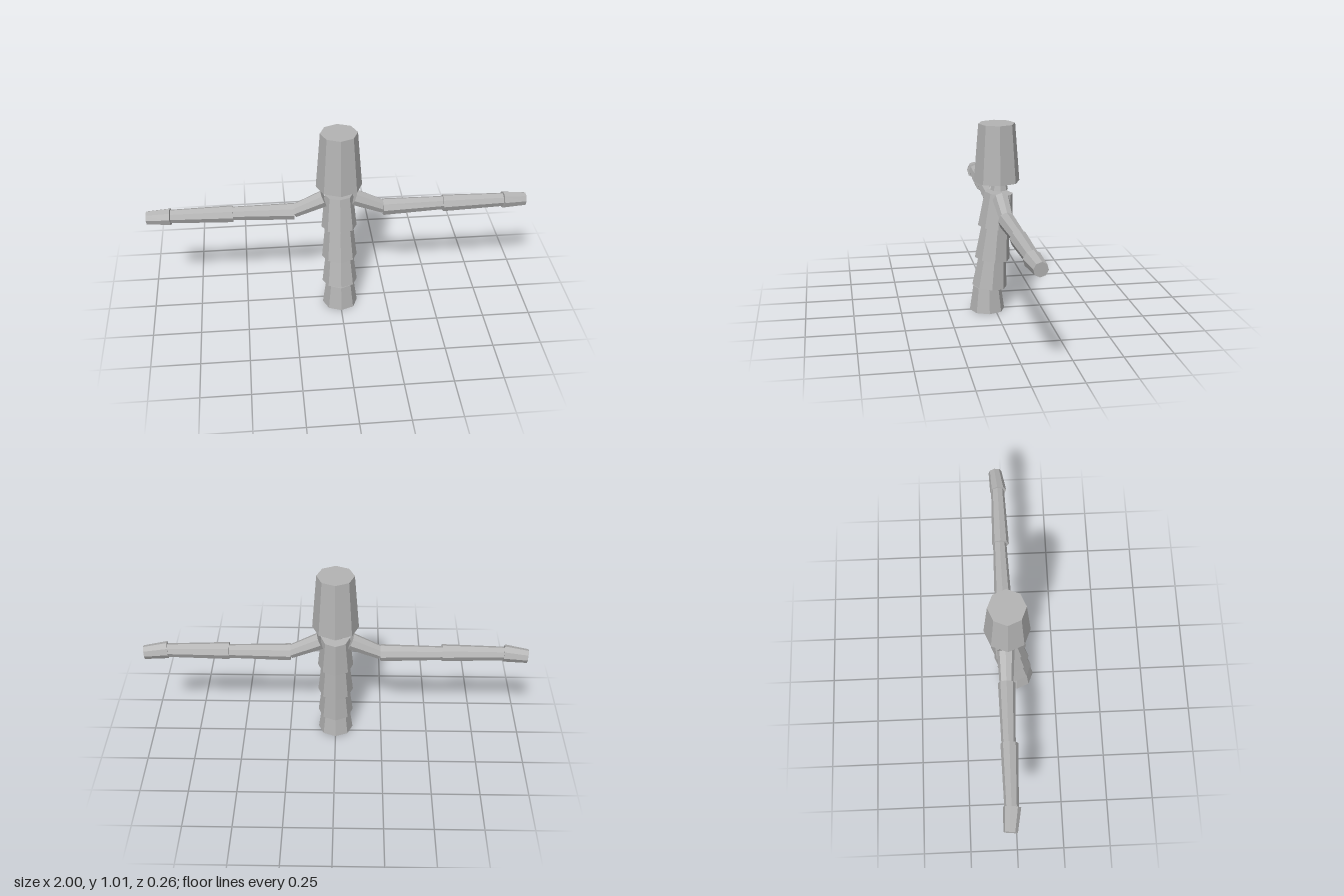
import * as THREE from 'three';

const TAPER = 0.8; // every segment narrows towards its far end

export function createModel() {
  const group = new THREE.Group();
  group.name = 'figure';
  const grey = new THREE.MeshStandardMaterial({ color: 0xb4b4b4, flatShading: true });
  grey.name = 'plain grey';

  // Tapered eight-sided segment running from one point to another
  function segment(name, from, to, radius) {
    const a = new THREE.Vector3(...from);
    const b = new THREE.Vector3(...to);
    const dir = b.clone().sub(a);
    const geometry = new THREE.CylinderGeometry(radius * TAPER, radius, dir.length(), 8);
    const mesh = new THREE.Mesh(geometry, grey);
    mesh.name = name;
    mesh.position.copy(a).add(b).multiplyScalar(0.5);
    mesh.quaternion.setFromUnitVectors(new THREE.Vector3(0, 1, 0), dir.normalize());
    group.add(mesh);
  }

  // Body, leaning backwards above the hips
  segment('hips', [0, 0, 0.04], [0, 0.133, 0.04], 0.093);
  segment('waist', [0, 0.132, 0.027], [0, 0.284, 0.012], 0.093);
  segment('abdomen', [0, 0.284, 0.012], [0, 0.459, -0.005], 0.093);
  segment('chest', [0, 0.459, -0.005], [0, 0.641, -0.023], 0.093);
  segment('neck', [0, 0.656, -0.025], [0, 0.703, -0.025], 0.046);
  segment('head', [0, 0.702, -0.012], [0, 1.006, -0.012], 0.12);

  // Arms, mirrored
  for (const [side, s] of [['left', 1], ['right', -1]]) {
    segment(side + 'Shoulder', [s * 0.078, 0.62, -0.022], [s * 0.235, 0.551, -0.025], 0.045);
    segment(side + 'UpperArm', [s * 0.233, 0.549, -0.024], [s * 0.555, 0.553, -0.028], 0.045);
    segment(side + 'Forearm', [s * 0.552, 0.553, -0.024], [s * 0.874, 0.554, -0.027], 0.045);
    segment(side + 'Hand', [s * 0.873, 0.555, -0.024], [s * 0.996, 0.546, -0.037], 0.045);
  }
  return group;
}
